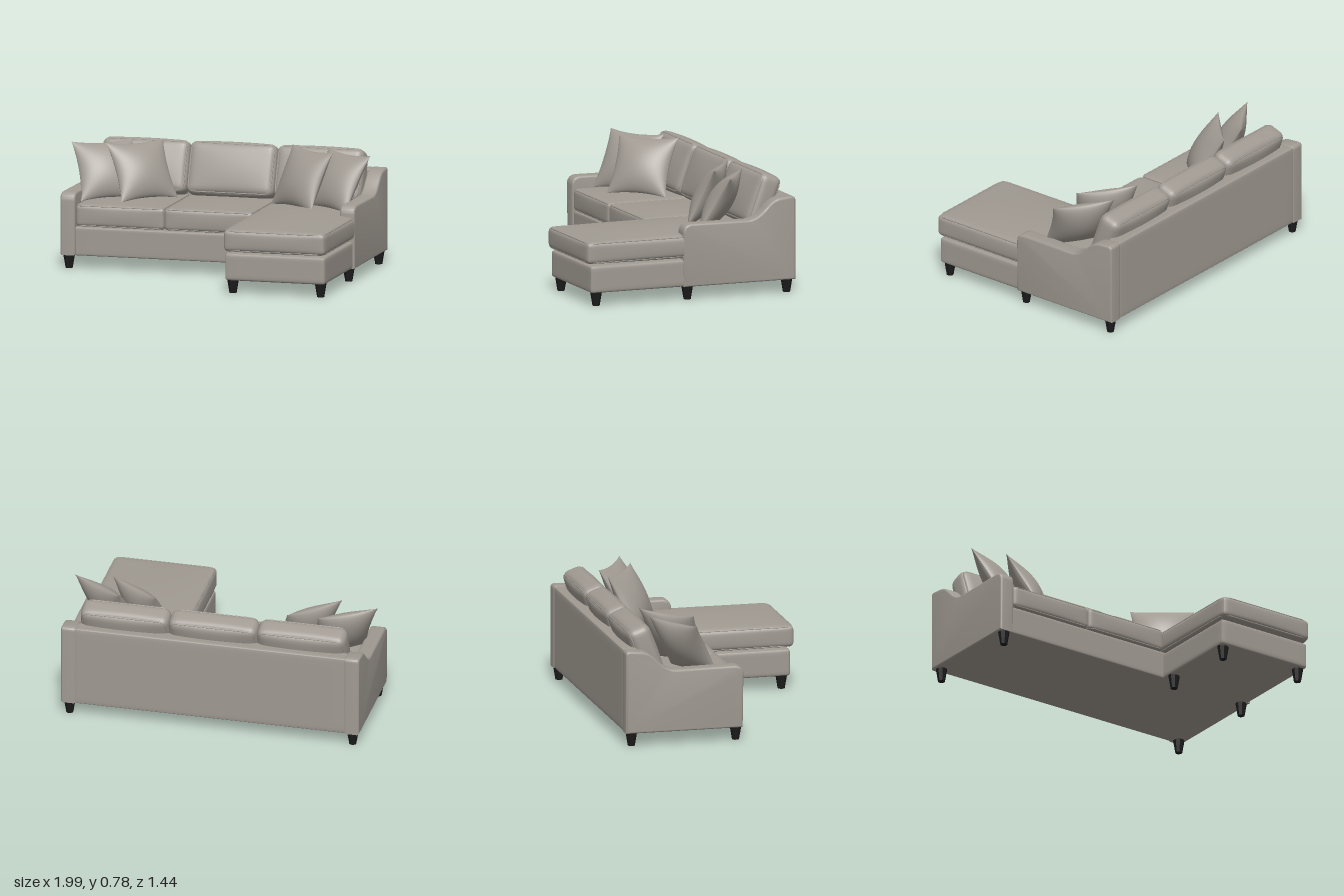
import * as THREE from 'three';
import { mergeVertices, mergeGeometries, toCreasedNormals } from 'three/addons/utils/BufferGeometryUtils.js';

const fabric = new THREE.MeshStandardMaterial({ color: 0xa09a92 });
fabric.name = 'warm grey fabric';
const darkWood = new THREE.MeshStandardMaterial({ color: 0x1c1c1c });
darkWood.name = 'dark wood';

function addMesh(parent, name, geometry, material = fabric) {
  const mesh = new THREE.Mesh(geometry, material);
  mesh.name = name;
  parent.add(mesh);
  return mesh;
}

// Weld a geometry and give it smooth normals
function smooth(geometry) {
  geometry.deleteAttribute('uv');
  geometry.deleteAttribute('normal');
  const welded = mergeVertices(geometry, 1e-5);
  welded.computeVertexNormals();
  return welded;
}

// Box with rounded edges (radius r) whose faces swell outward by bulge [x, y, z]
function softBox(size, r, bulge = [0, 0, 0], n = 18) {
  const geometry = new THREE.BoxGeometry(2, 2, 2, n, n, n);
  const pos = geometry.attributes.position;
  const half = size.map((s) => s / 2);
  const v = new THREE.Vector3();
  for (let i = 0; i < pos.count; i++) {
    v.fromBufferAttribute(pos, i);
    // crowd the grid lines toward the edges
    const u = v.toArray().map((c) => Math.sign(c) * (1 - (1 - Math.abs(c)) ** 2));
    const p = u.map((c, a) => c * half[a]);
    const q = p.map((c, a) => Math.max(-half[a] + r, Math.min(half[a] - r, c)));
    const off = new THREE.Vector3(...p.map((c, a) => c - q[a])).setLength(r).toArray();
    const swell = (a) => {
      const b = u[(a + 1) % 3], c = u[(a + 2) % 3];
      return bulge[a] * u[a] * (1 - b * b) * (1 - c * c);
    };
    pos.setXYZ(i, ...q.map((c, a) => c + off[a] + swell(a)));
  }
  return smooth(geometry);
}

// Box given by its limits on each axis
function addBlock(parent, name, [x0, x1], [y0, y1], [z0, z1], r) {
  const mesh = addMesh(parent, name, softBox([x1 - x0, y1 - y0, z1 - z0], r, [0, 0, 0], 12));
  mesh.position.set((x0 + x1) / 2, (y0 + y1) / 2, (z0 + z1) / 2);
}

// Cushion lying flat, with welt piping around its two large faces
function makeCushion(name, w, t, d, r, crown, corner) {
  const group = new THREE.Group();
  group.name = name;
  addMesh(group, 'cushionBody', softBox([w, t, d], r, [0.008, crown, 0.008]));
  const a = w / 2 - r * 0.29, b = d / 2 - r * 0.29, c = corner;
  const outline = new THREE.Shape();
  outline.moveTo(-a + c, -b).lineTo(a - c, -b).quadraticCurveTo(a, -b, a, -b + c);
  outline.lineTo(a, b - c).quadraticCurveTo(a, b, a - c, b);
  outline.lineTo(-a + c, b).quadraticCurveTo(-a, b, -a, b - c);
  outline.lineTo(-a, -b + c).quadraticCurveTo(-a, -b, -a + c, -b);
  const points = outline.getSpacedPoints(80).slice(0, -1);
  for (const side of [-1, 1]) {
    const path = new THREE.CatmullRomCurve3(
      points.map((p) => new THREE.Vector3(p.x, side * (t / 2 - r * 0.29), p.y)), true);
    addMesh(group, 'piping', new THREE.TubeGeometry(path, 120, 0.005, 6, true));
  }
  return group;
}

// Sloping arm: side profile extruded across its width
function armGeometry(width) {
  const s = new THREE.Shape();
  s.moveTo(-0.72, 0.085).lineTo(0.05, 0.085).lineTo(0.055, 0.43);
  s.quadraticCurveTo(0.055, 0.49, -0.005, 0.492);
  s.lineTo(-0.39, 0.488);
  s.bezierCurveTo(-0.5, 0.495, -0.52, 0.6, -0.61, 0.618);
  s.lineTo(-0.69, 0.625).quadraticCurveTo(-0.72, 0.625, -0.72, 0.6);
  s.closePath();
  const bevel = 0.014;
  const geometry = new THREE.ExtrudeGeometry(s, {
    depth: width - 2 * bevel, curveSegments: 14,
    bevelThickness: bevel, bevelSize: bevel, bevelOffset: -bevel, bevelSegments: 4,
  });
  geometry.translate(0, 0, bevel - width / 2).rotateY(-Math.PI / 2);
  return toCreasedNormals(geometry, 0.7);
}

// Throw pillow: two swollen faces with pinched sides and pointed corners
function pillowGeometry(half, thick) {
  const faces = [1, -1].map((side) => {
    const face = new THREE.PlaneGeometry(2, 2, 24, 24);
    const pos = face.attributes.position;
    for (let i = 0; i < pos.count; i++) {
      const u = Math.sin(pos.getX(i) * Math.PI / 2), v = Math.sin(pos.getY(i) * Math.PI / 2);
      const fall = Math.max(0, (1 - u * u) * (1 - v * v));
      pos.setXYZ(i,
        side * u * half * (1 - 0.1 * (1 - v * v)),
        v * half * (1 - 0.1 * (1 - u * u)),
        side * thick * fall ** 0.6);
    }
    return smooth(face);
  });
  return mergeGeometries(faces);
}

export function createModel() {
  const sofa = new THREE.Group();
  sofa.name = 'sectionalSofa';

  // Frame
  addBlock(sofa, 'seatBase', [-0.9, 0.9], [0.085, 0.27], [-0.71, 0.042], 0.012);
  addBlock(sofa, 'chaiseBase', [0.3, 0.967], [0.085, 0.262], [-0.6, 0.692], 0.02);
  addBlock(sofa, 'backFrame', [-0.895, 0.895], [0.085, 0.622], [-0.72, -0.62], 0.015);
  for (const side of [-1, 1]) {
    const arm = addMesh(sofa, side > 0 ? 'leftArm' : 'rightArm', armGeometry(0.1));
    arm.position.x = side * 0.93;
  }

  // Seat cushions; the chaise cushion runs on to the front
  for (const x of [-0.583, 0.005]) {
    const seat = makeCushion('seatCushion', 0.586, 0.142, 0.62, 0.025, 0.014, 0.03);
    seat.position.set(x, 0.346, -0.258);
    sofa.add(seat);
  }
  const chaise = makeCushion('chaiseCushion', 0.675, 0.142, 1.25, 0.03, 0.024, 0.05);
  chaise.position.set(0.633, 0.345, 0.09);
  sofa.add(chaise);

  // Leaning back cushions
  for (const x of [-0.58, 0, 0.58]) {
    const back = makeCushion('backCushion', 0.574, 0.15, 0.345, 0.045, 0.022, 0.05);
    back.position.set(x, 0.582, -0.553);
    back.rotation.x = Math.PI / 2 - 0.35;
    sofa.add(back);
  }

  // Throw pillows: x, y, z, turn, lean
  const pillow = pillowGeometry(0.205, 0.08);
  const placements = [
    [-0.765, 0.592, -0.285, 0.58, 0.53],
    [-0.53, 0.6, -0.285, 0.77, 0.53],
    [0.53, 0.597, -0.295, -0.61, 0.45],
    [0.768, 0.592, -0.285, -0.58, 0.53],
  ];
  for (const [x, y, z, turn, lean] of placements) {
    const mesh = addMesh(sofa, 'throwPillow', pillow);
    mesh.position.set(x, y, z);
    mesh.rotation.set(-lean, turn, 0, 'YXZ');
  }

  // Tapered legs
  const leg = new THREE.CylinderGeometry(0.038, 0.023, 0.09, 8).toNonIndexed();
  leg.rotateY(Math.PI / 8);
  leg.computeVertexNormals();
  const legSpots = [
    [-0.93, 0.012], [-0.93, -0.675], [0.93, -0.675], [0.93, 0.012],
    [0.342, 0.1], [0.342, 0.64], [0.925, 0.64],
  ];
  for (const [x, z] of legSpots) {
    addMesh(sofa, 'leg', leg, darkWood).position.set(x, 0.045, z);
  }
  return sofa;
}
